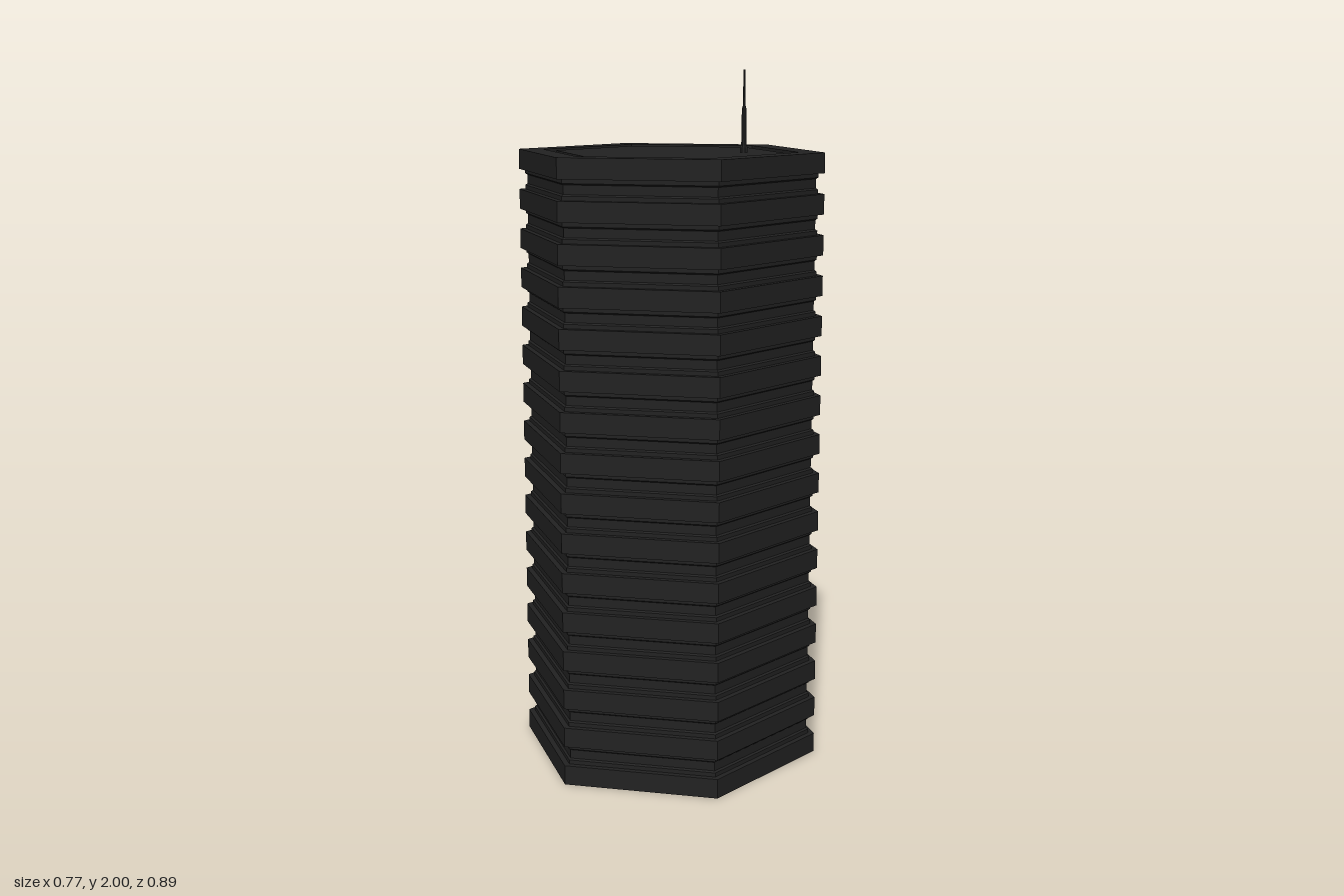
import * as THREE from 'three';

const BANDS = 16, HEIGHT = 1.775, BAND_H = 0.057;
const PITCH = (HEIGHT - BAND_H) / (BANDS - 1);
const R = 0.443, R_STEP = 0.425, R_GROOVE = 0.419;

// Faceted solid of revolution; six sides put corners on +z and -z
function facetedLathe(name, points, sides, material) {
  const profile = points.map(([r, y]) => new THREE.Vector2(r, y));
  const mesh = new THREE.Mesh(new THREE.LatheGeometry(profile, sides), material);
  mesh.name = name;
  return mesh;
}

export function createModel() {
  const group = new THREE.Group();
  group.name = 'hexagonalTower';
  const dark = new THREE.MeshStandardMaterial({ color: 0x222222, flatShading: true });

  // Ribbed hexagonal body: projecting floor bands with recessed strips between
  const body = [[0, 0]];
  for (let i = 0; i < BANDS; i++) {
    const y = i * PITCH, top = y + BAND_H, next = y + PITCH;
    body.push([R, y], [R, top]);
    if (i < BANDS - 1) {
      body.push([R_STEP, top], [R_STEP, top + 0.012], [R_GROOVE, top + 0.016],
        [R_GROOVE, next - 0.016], [R_STEP, next - 0.012], [R_STEP, next]);
    }
  }
  // Roof with a narrow channel around the central deck
  body.push([0.37, HEIGHT], [0.37, HEIGHT - 0.02], [0.332, HEIGHT - 0.02],
    [0.332, HEIGHT - 0.003], [0, HEIGHT - 0.003]);
  group.add(facetedLathe('towerBody', body, 6, dark));

  // Tapered roof mast
  const mast = facetedLathe('roofMast', [
    [0.011, 0], [0.011, 0.015], [0.008, 0.02], [0.007, 0.12], [0.004, 0.13], [0.003, 0.228], [0, 0.228],
  ], 8, dark);
  mast.position.set(0.186, HEIGHT - 0.003, 0.106);
  group.add(mast);

  return group;
}
